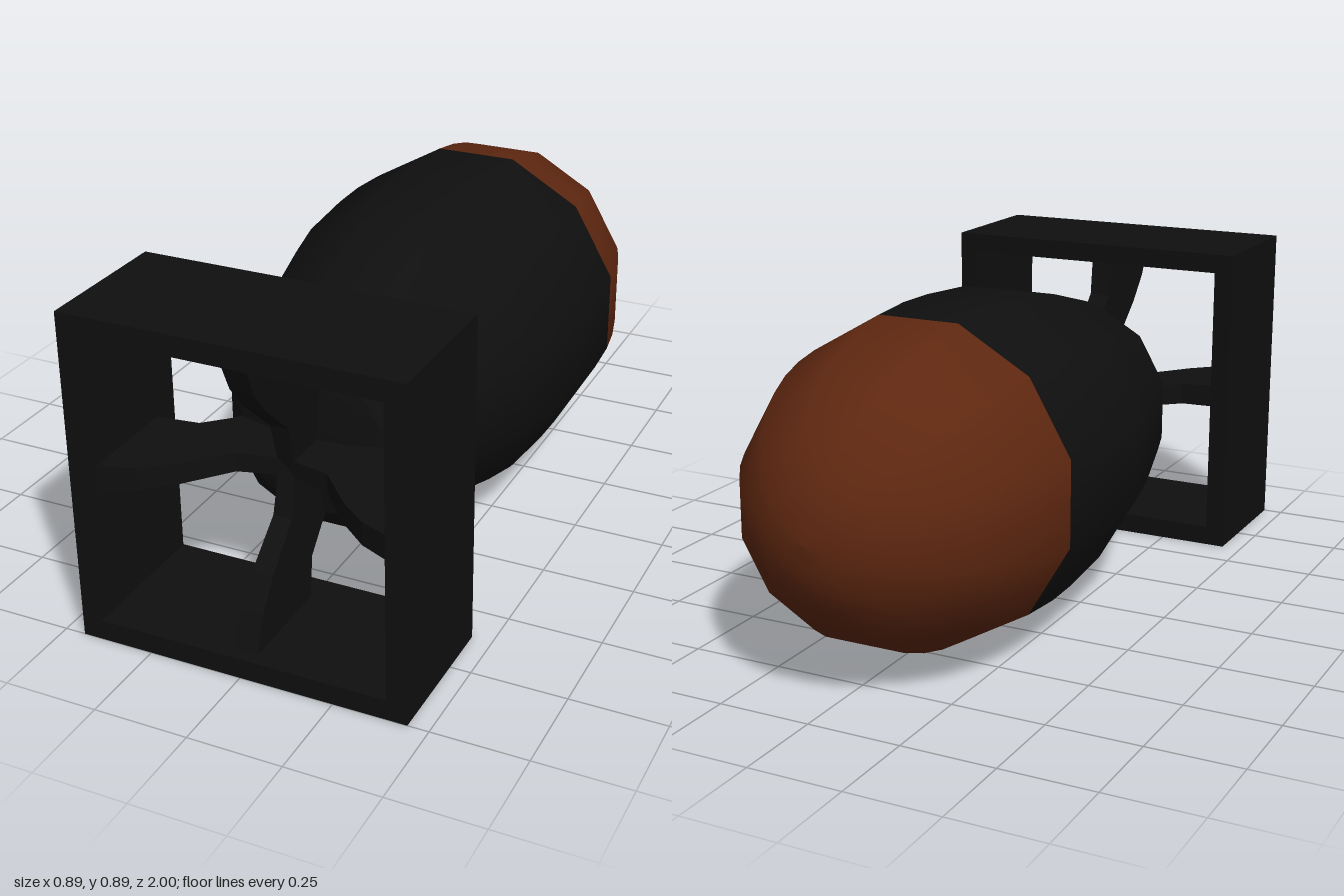
import * as THREE from 'three';

const AXIS_Y = 0.446; // height of the long axis
const SIDES = 12;

export function createModel() {
  const black = new THREE.MeshStandardMaterial({ color: 0x0f0f0f });
  black.name = 'black';
  const rust = new THREE.MeshStandardMaterial({ color: 0x5e2710 });
  rust.name = 'rust';

  const model = new THREE.Group();
  model.name = 'finnedBomb';
  const add = (name, geometry, material) => {
    const mesh = new THREE.Mesh(geometry, material);
    mesh.name = name;
    mesh.position.y = AXIS_Y;
    model.add(mesh);
    return mesh;
  };

  // Twelve-sided surface turned around z from [radius, z] pairs, nose to tail
  const turned = (profile) =>
    new THREE.LatheGeometry(profile.map(([r, z]) => new THREE.Vector2(r, z)), SIDES, Math.PI / 12)
      .rotateX(Math.PI / 2);

  // Elliptical nose
  const nose = [];
  const end = Math.acos(0.1 / 0.65);
  for (let i = 0; i <= 10; i++) {
    const a = (end * i) / 10;
    nose.push([0.443 * Math.sin(a), -0.35 - 0.65 * Math.cos(a)]);
  }
  add('nose', turned(nose), rust);

  // Tapering body and its closed tail
  add('body', turned([
    nose[10], [0.446, -0.32], [0.444, -0.2], [0.43, 0], [0.405, 0.12], [0.377, 0.22],
    [0.338, 0.36], [0.308, 0.46], [0.29, 0.5], [0.262, 0.55], [0.205, 0.59],
  ]), black);
  add('tailCap', turned([[0.205, 0.59], [0.12, 0.61], [0, 0.615]]), black);

  // Square tail frame
  const square = (s, Type) => new Type([
    new THREE.Vector2(-s, -s), new THREE.Vector2(s, -s),
    new THREE.Vector2(s, s), new THREE.Vector2(-s, s),
  ]);
  const frameShape = square(0.445, THREE.Shape);
  frameShape.holes.push(square(0.39, THREE.Path));
  add('tailFrame', new THREE.ExtrudeGeometry(frameShape, { depth: 0.39, bevelEnabled: false })
    .translate(0, 0, 0.61), black);

  // Four curved fins joining the tail to the frame, thicker toward the frame
  const finShape = new THREE.Shape([
    [0, 0.55], [0.19, 0.57], [0.22, 0.61], [0.28, 0.67], [0.395, 0.69],
    [0.395, 0.97], [0.3, 0.93], [0.225, 0.87], [0.125, 0.76], [0, 0.73],
  ].map(([r, z]) => new THREE.Vector2(r, z)));
  const finGeometry = new THREE.ExtrudeGeometry(finShape, { depth: 1, bevelEnabled: false })
    .translate(0, 0, -0.5);
  const p = finGeometry.attributes.position;
  for (let i = 0; i < p.count; i++) p.setZ(i, p.getZ(i) * (0.045 + 0.055 * p.getX(i)));
  finGeometry.rotateX(Math.PI / 2);
  finGeometry.computeVertexNormals();
  ['finLeft', 'finTop', 'finRight', 'finBottom'].forEach((name, i) => {
    add(name, finGeometry, black).rotation.z = (i * Math.PI) / 2;
  });

  return model;
}
